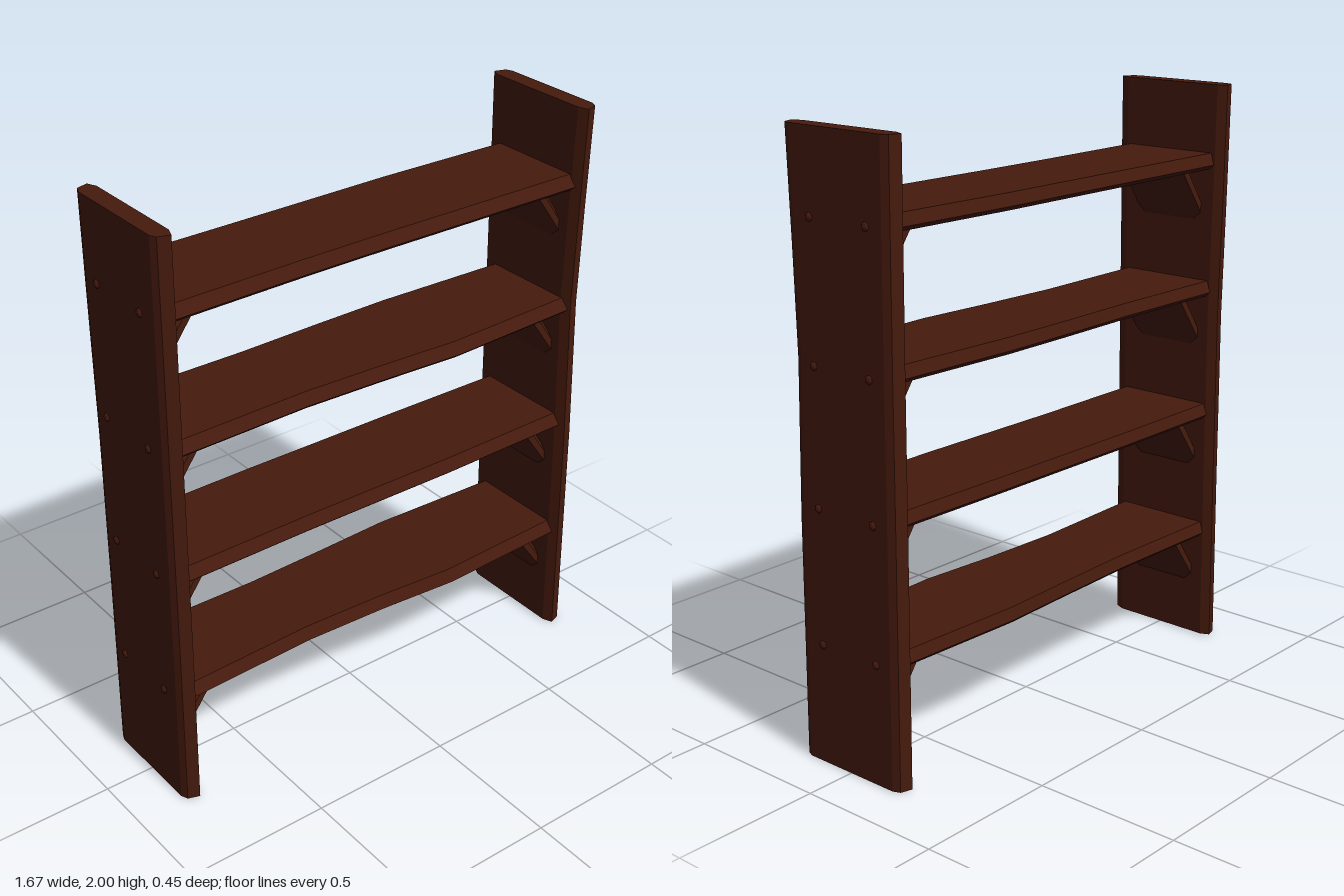
import * as THREE from 'three';

const wood = new THREE.MeshStandardMaterial({ color: 0x451a0d, flatShading: true });

// Solid through matching cross-sections (arrays of [x, y, z]) with capped ends
function loft(sections) {
  const tris = [];
  const n = sections[0].length;
  for (let i = 0; i + 1 < sections.length; i++) {
    const a = sections[i], b = sections[i + 1];
    for (let j = 0; j < n; j++) {
      const k = (j + 1) % n;
      tris.push([a[j], a[k], b[k]], [a[j], b[k], b[j]]);
    }
  }
  const first = sections[0], last = sections[sections.length - 1];
  for (let j = 1; j + 1 < n; j++) {
    tris.push([first[0], first[j + 1], first[j]], [last[0], last[j], last[j + 1]]);
  }
  // Turn the faces outward, judged by the sign of the enclosed volume
  const v = (p) => new THREE.Vector3(...p);
  const volume = tris.reduce((s, [a, b, c]) => s + v(a).dot(v(b).cross(v(c))), 0);
  if (volume < 0) tris.forEach((t) => t.reverse());
  const geometry = new THREE.BufferGeometry();
  geometry.setAttribute('position', new THREE.Float32BufferAttribute(tris.flat(2), 3));
  geometry.computeVertexNormals();
  return geometry;
}

function add(parent, name, geometry) {
  const mesh = new THREE.Mesh(geometry, wood);
  mesh.name = name;
  parent.add(mesh);
  return mesh;
}

// Upright plank: bevelled section [x, z], with the long edges drifting in and out
function upright(side) {
  const profile = [
    [0.764, -0.185], [0.778, -0.217], [0.817, -0.205], [0.827, -0.18],
    [0.827, 0.18], [0.817, 0.203], [0.778, 0.217], [0.764, 0.182],
  ];
  const stations = side > 0
    ? [[0, 0, 0], [0.8, -0.004, 0.003], [1.3, -0.016, 0.004], [1.65, -0.006, 0.006], [2, 0.007, 0.008]]
    : [[0, -0.004, -0.002], [0.6, 0.002, -0.006], [1.2, 0.004, -0.008], [1.6, 0.006, 0], [2, 0.007, 0.006]];
  return loft(stations.map(([y, front, back]) =>
    profile.map(([x, z]) => [side * x, y, z > 0 ? z + front : z - back])));
}

// Shelf board: front and back edges waver at five stations
const stationX = [-0.775, -0.3, 0, 0.28, 0.775];
function shelf(y, front, back) {
  return loft(stationX.map((x, i) => {
    const f = front[i], b = back[i];
    return [
      [x, y + 0.028, f - 0.022], [x, y - 0.012, f], [x, y - 0.028, f - 0.018],
      [x, y - 0.028, b + 0.018], [x, y - 0.012, b], [x, y + 0.028, b + 0.012],
    ];
  }));
}

// Diagonal brace: wide bevelled plank, mitred to the shelf and to the upright
function brace(side, y) {
  // [z, s], where s runs from the inner face (0) to the outer face (1)
  const profile = [
    [-0.115, 0], [-0.135, 0.3], [-0.135, 0.7], [-0.105, 1],
    [0.105, 1], [0.135, 0.7], [0.135, 0.3], [0.115, 0],
  ];
  const top = profile.map(([z, s]) => [side * (0.705 - 0.072 * s), y - 0.026, z]);
  const foot = profile.map(([z, s]) => [side * 0.772, y - 0.128 - 0.09 * s, z]);
  return loft([top, foot]);
}

export function createModel() {
  const group = new THREE.Group();
  group.name = 'shelvingUnit';

  const heights = [0.405, 0.85, 1.295, 1.74];
  const fronts = [
    [0.195, 0.178, 0.19, 0.212, 0.194],
    [0.196, 0.192, 0.195, 0.198, 0.192],
    [0.195, 0.184, 0.196, 0.212, 0.192],
    [0.197, 0.188, 0.187, 0.19, 0.194],
  ];
  const backs = [
    [-0.182, -0.175, -0.184, -0.195, -0.176],
    [-0.183, -0.188, -0.186, -0.185, -0.178],
    [-0.183, -0.18, -0.188, -0.192, -0.175],
    [-0.184, -0.186, -0.188, -0.19, -0.178],
  ];
  heights.forEach((y, i) => add(group, `shelf${i + 1}`, shelf(y, fronts[i], backs[i])));

  const pegGeometry = new THREE.IcosahedronGeometry(0.015, 1);
  for (const side of [-1, 1]) {
    const label = side > 0 ? 'left' : 'right';
    add(group, `${label}Upright`, upright(side));
    heights.forEach((y, i) => {
      add(group, `${label}Brace${i + 1}`, brace(side, y));
      // Peg heads on the outer face
      for (const z of [-0.122, 0.11]) {
        const peg = add(group, `${label}Peg`, pegGeometry);
        peg.position.set(side * 0.825, y - 0.005, z);
        peg.scale.x = 0.7;
      }
    });
  }
  return group;
}
